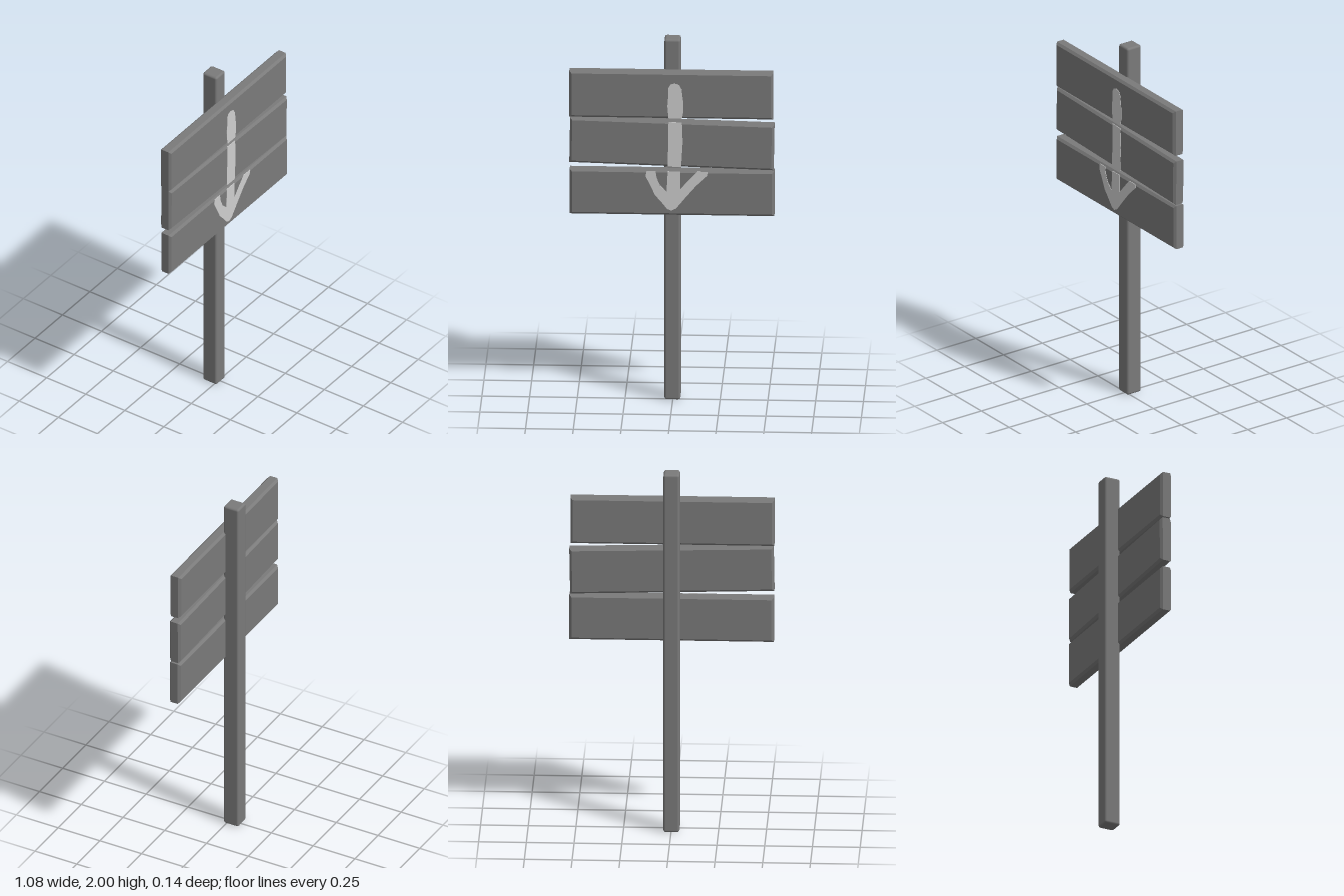
import * as THREE from 'three';
import { RoundedBoxGeometry } from 'three/addons/geometries/RoundedBoxGeometry.js';

const wood = new THREE.MeshStandardMaterial({ color: 0x7a7a7a });
wood.name = 'weathered wood';
const paint = new THREE.MeshStandardMaterial({ color: 0xcecece });
paint.name = 'pale paint';

const BACK = 0.002, FRONT = 0.068, BEVEL = 0.012;

const outline = (points) => new THREE.Shape(points.map(([x, y]) => new THREE.Vector2(x, y)));

// Chamfered board from its four outer corners, anticlockwise from bottom left
function plank(name, corners) {
  const inset = corners.map(([x, y], i) => [x + (x < 0 ? BEVEL : -BEVEL), y + (i < 2 ? BEVEL : -BEVEL)]);
  const geo = new THREE.ExtrudeGeometry(outline(inset), {
    depth: FRONT - BACK - 2 * BEVEL,
    bevelEnabled: true, bevelThickness: BEVEL, bevelSize: BEVEL, bevelSegments: 1,
  });
  geo.translate(0, 0, BACK + BEVEL);
  const mesh = new THREE.Mesh(geo, wood);
  mesh.name = name;
  return mesh;
}

// Thin painted plate on the front of a board
function stroke(name, points) {
  const geo = new THREE.ExtrudeGeometry(outline(points), { depth: 0.003, bevelEnabled: false });
  geo.translate(0, 0, FRONT - 0.001);
  const mesh = new THREE.Mesh(geo, paint);
  mesh.name = name;
  return mesh;
}

export function createModel() {
  const model = new THREE.Group();
  model.name = 'signpost';

  // Square post with softened edges
  const post = new THREE.Mesh(new RoundedBoxGeometry(0.084, 2, 0.09, 2, 0.012), wood);
  post.position.set(-0.002, 1, -0.029);
  post.name = 'post';
  model.add(post);

  // Three boards, the middle one slightly tilted
  model.add(
    plank('topPlank', [[-0.54, 1.58], [0.53, 1.58], [0.53, 1.836], [-0.54, 1.836]]),
    plank('middlePlank', [[-0.54, 1.328], [0.532, 1.298], [0.536, 1.55], [-0.536, 1.576]]),
    plank('bottomPlank', [[-0.538, 1.043], [0.536, 1.043], [0.536, 1.292], [-0.538, 1.292]]),
  );

  // Hand-painted arrow, broken at the gaps between boards
  const arrow = new THREE.Group();
  arrow.name = 'arrow';
  arrow.add(
    stroke('arrowTop', [
      [-0.02, 1.582], [0.05, 1.582], [0.058, 1.62], [0.056, 1.68], [0.048, 1.745], [0.036, 1.768],
      [0.012, 1.776], [-0.01, 1.77], [-0.021, 1.75], [-0.022, 1.7], [-0.026, 1.65],
    ]),
    stroke('arrowShaft', [[-0.024, 1.315], [0.046, 1.313], [0.054, 1.45], [0.05, 1.56], [-0.02, 1.562], [-0.022, 1.45]]),
    stroke('arrowHead', [
      [-0.005, 1.07], [0.02, 1.083], [0.07, 1.145], [0.125, 1.21], [0.186, 1.268], [0.188, 1.287], [0.13, 1.288],
      [0.09, 1.245], [0.042, 1.19], [0.042, 1.288], [-0.024, 1.288], [-0.03, 1.175], [-0.065, 1.21],
      [-0.082, 1.25], [-0.088, 1.288], [-0.135, 1.288], [-0.14, 1.26], [-0.118, 1.215],
      [-0.09, 1.155], [-0.055, 1.115], [-0.028, 1.08],
    ]),
  );
  model.add(arrow);
  return model;
}
